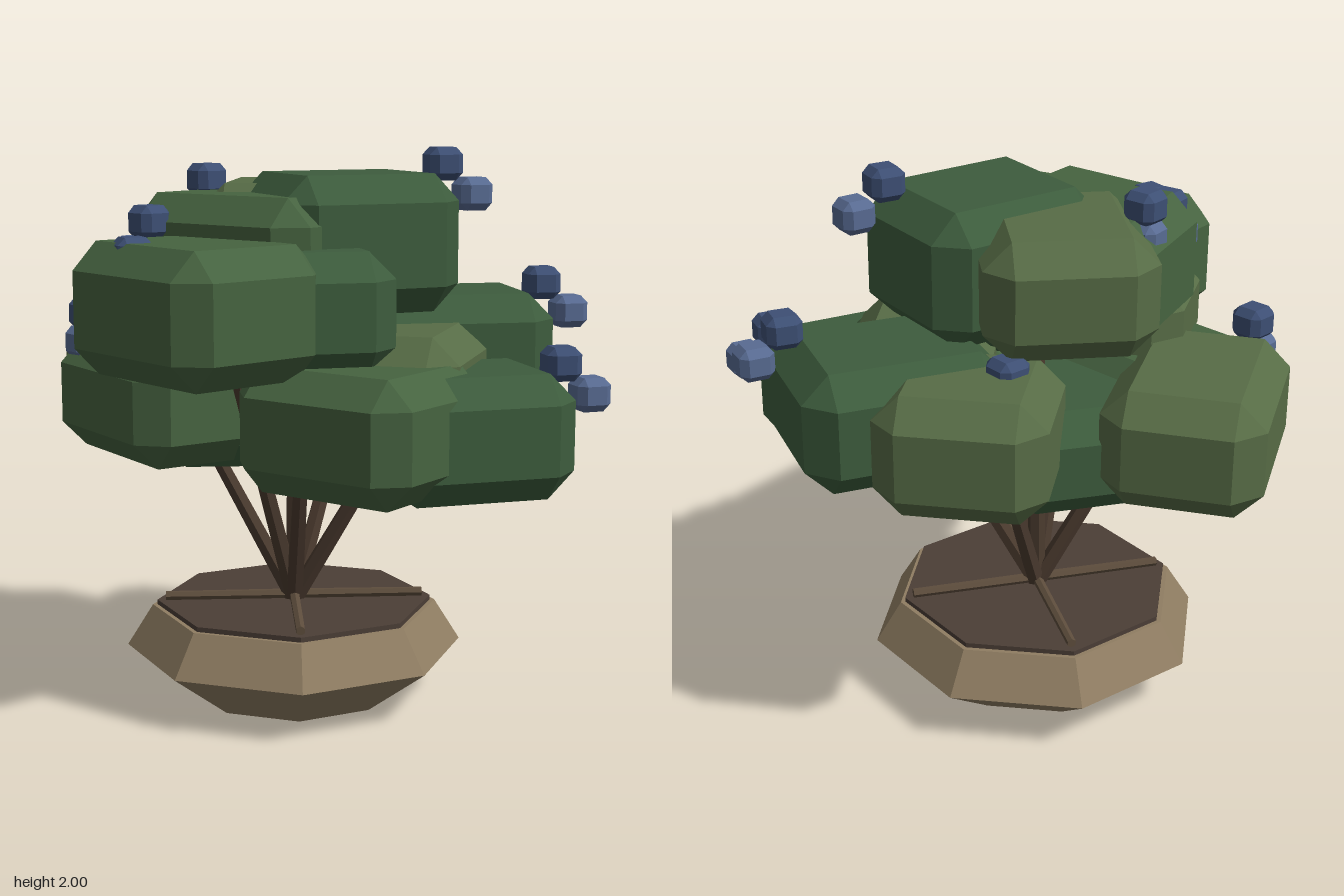
import * as THREE from 'three';
import { ConvexGeometry } from 'three/addons/geometries/ConvexGeometry.js';

const mat = (color) => new THREE.MeshStandardMaterial({ color, flatShading: true });
const MATS = {
  dark: mat(0x3d5c3d),
  mid: mat(0x466340),
  olive: mat(0x576c46),
  pot: mat(0x8f7d62),
  soil: mat(0x4b3e36),
  root: mat(0x5d4d3c),
  stem: mat(0x4b3b2f),
  berryDark: mat(0x3d4f74),
  berryLight: mat(0x586b92),
};
const CX = -0.115, CZ = -0.045; // axis of the planter

function add(group, name, geometry, material) {
  const mesh = new THREE.Mesh(geometry, material);
  mesh.name = name;
  group.add(mesh);
  return mesh;
}

// Box with half sizes a, h, b and every edge cut by c
function chamferedBox(a, h, b, c) {
  const points = [];
  for (const x of [-1, 1]) for (const y of [-1, 1]) for (const z of [-1, 1]) {
    points.push(
      new THREE.Vector3(x * a, y * (h - c), z * (b - c)),
      new THREE.Vector3(x * (a - c), y * h, z * (b - c)),
      new THREE.Vector3(x * (a - c), y * (h - c), z * b));
  }
  return new ConvexGeometry(points);
}

// Tapered six-sided stick between two points
function stick(group, name, from, to, r0, r1, material) {
  const p = new THREE.Vector3(...from), q = new THREE.Vector3(...to);
  const dir = q.clone().sub(p);
  const mesh = add(group, name, new THREE.CylinderGeometry(r1, r0, dir.length(), 6), material);
  mesh.position.copy(p).addScaledVector(dir, 0.5);
  mesh.quaternion.setFromUnitVectors(new THREE.Vector3(0, 1, 0), dir.normalize());
}

export function createModel() {
  const model = new THREE.Group();
  model.name = 'bush';

  // Octagonal planter and the soil in it
  const profile = [[0, 0], [0.36, 0], [0.614, 0.185], [0.52, 0.335], [0, 0.335]]
    .map(([r, y]) => new THREE.Vector2(r, y));
  add(model, 'planter', new THREE.LatheGeometry(profile, 8), MATS.pot).position.set(CX, 0, CZ);
  add(model, 'soil', new THREE.CylinderGeometry(0.503, 0.503, 0.025, 8), MATS.soil)
    .position.set(CX, 0.34, CZ);

  // Surface roots in a cross
  for (let i = 0; i < 4; i++) {
    const s = Math.sin(i * Math.PI / 2), k = Math.cos(i * Math.PI / 2);
    stick(model, 'root', [CX, 0.367, CZ], [CX + 0.472 * s, 0.367, CZ + 0.472 * k], 0.019, 0.017, MATS.root);
  }

  // Stems fanning out from the middle
  const stemTips = [
    [0.24, 1.0, 0.1], [-0.46, 1.0, -0.12], [-0.34, 1.3, 0.26],
    [-0.11, 1.5, -0.05], [0.08, 1.0, -0.24], [-0.1, 1.0, 0.31],
  ];
  for (const tip of stemTips) {
    stick(model, 'stem', [CX, 0.35, CZ], tip, 0.034, 0.026, MATS.stem);
  }

  // Foliage: x, z, bottom, top, half width, half depth, turn in degrees, colour
  const leaves = [
    [0.075, 0.005, 1.43, 1.91, 0.335, 0.30, 20, 'dark'],
    [-0.13, -0.27, 1.46, 1.87, 0.29, 0.33, -8, 'olive'],
    [-0.25, 0.015, 1.38, 1.84, 0.39, 0.28, -41, 'mid'],
    [-0.46, 0.415, 1.25, 1.70, 0.30, 0.37, 37, 'mid'],
    [-0.10, 0.29, 1.25, 1.67, 0.28, 0.28, 10, 'dark'],
    [-0.40, 0.10, 1.20, 1.55, 0.32, 0.25, -30, 'olive'],
    [0.46, -0.235, 1.04, 1.47, 0.355, 0.285, 7, 'dark'],
    [0.24, -0.49, 1.00, 1.43, 0.29, 0.28, -24, 'olive'],
    [0.25, 0.17, 0.95, 1.38, 0.26, 0.32, -20, 'olive'],
    [0.45, 0.345, 0.83, 1.26, 0.33, 0.285, 13, 'dark'],
    [0.09, 0.435, 0.86, 1.29, 0.31, 0.35, 50, 'mid'],
    [-0.57, -0.435, 0.94, 1.36, 0.28, 0.37, -30, 'olive'],
    [-0.56, -0.108, 0.90, 1.31, 0.30, 0.375, 30, 'mid'],
    [-0.25, -0.20, 0.87, 1.25, 0.35, 0.35, 0, 'dark'],
  ];
  for (const [x, z, y0, y1, a, b, turn, colour] of leaves) {
    const leaf = add(model, 'foliage', chamferedBox(a, (y1 - y0) / 2, b, 0.095), MATS[colour]);
    leaf.position.set(x, (y0 + y1) / 2, z);
    leaf.rotation.y = THREE.MathUtils.degToRad(turn);
  }

  // Berry pairs: upper berry position, then sideways shift of the lower one, turn
  const berries = [
    [0.41, 1.94, 0.015, 0.105, 0, 15],
    [0.795, 1.505, -0.125, 0.1, 0, 8],
    [0.77, 1.285, 0.405, 0.1, 0, 10],
    [-0.42, 1.875, -0.26, 0, -0.01, 35],
    [-0.62, 1.745, 0.085, -0.045, 0, 40],
    [-0.855, 1.395, -0.205, -0.015, 0, 30],
    [-0.665, 1.66, 0.4, 0, 0, 20],
    [0.11, 1.42, -0.48, 0, 0, 25],
  ];
  const berryShape = chamferedBox(0.062, 0.058, 0.062, 0.026);
  for (const [x, y, z, dx, dz, turn] of berries) {
    const upper = add(model, 'upperBerry', berryShape, MATS.berryDark);
    upper.position.set(x, y, z);
    const lower = add(model, 'lowerBerry', berryShape, MATS.berryLight);
    lower.position.set(x + dx, y - 0.105, z + dz);
    upper.rotation.y = THREE.MathUtils.degToRad(turn);
    lower.rotation.y = THREE.MathUtils.degToRad(turn + 5);
  }
  return model;
}
